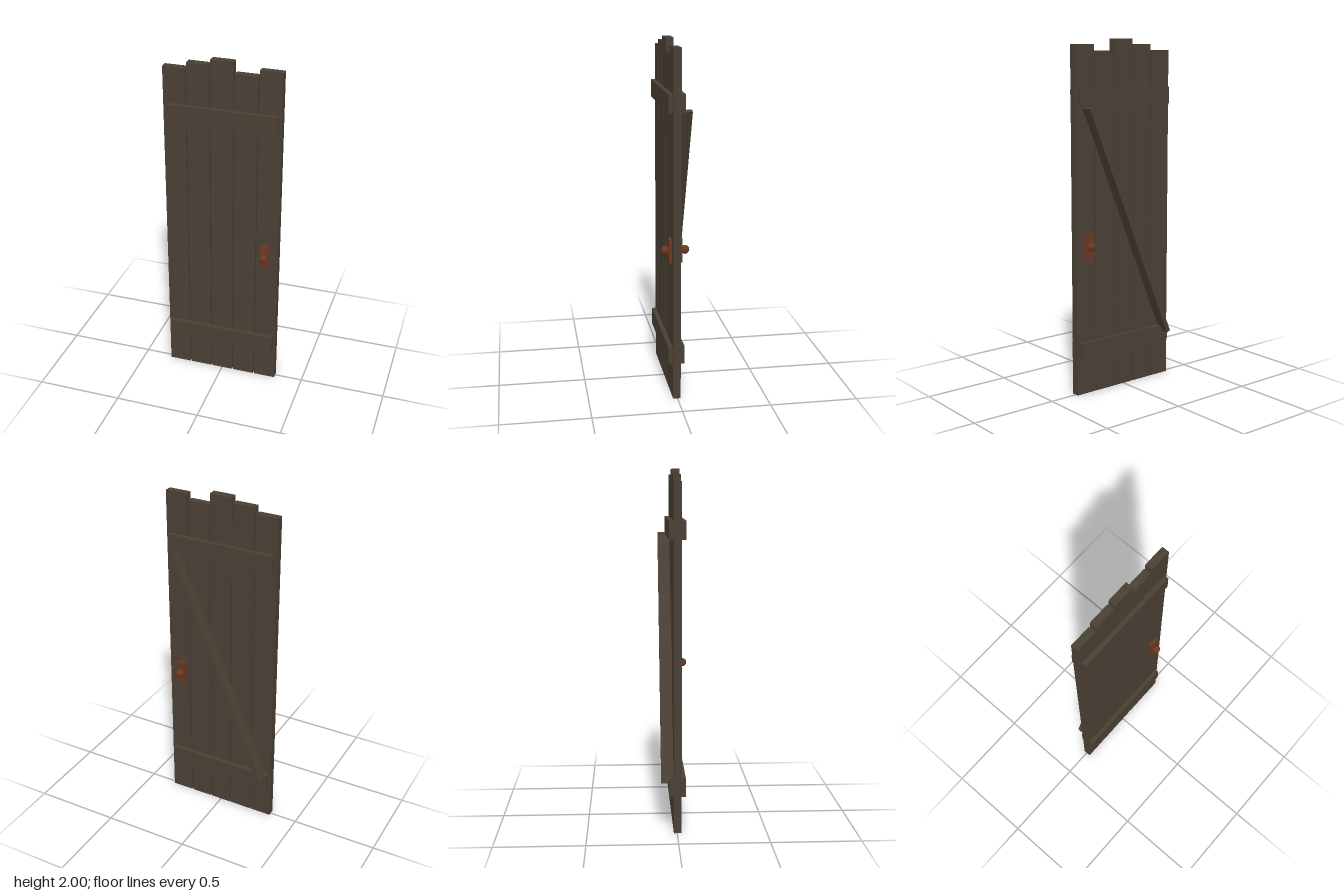
import * as THREE from 'three';

export function createModel() {
  const wood = new THREE.MeshStandardMaterial({ color: 0x4a4034 });
  wood.name = 'dark wood';
  const metal = new THREE.MeshStandardMaterial({ color: 0x6b3820, flatShading: true });
  metal.name = 'rusty metal';

  const door = new THREE.Group();
  door.name = 'door';

  const add = (name, geometry, material, x, y, z) => {
    const mesh = new THREE.Mesh(geometry, material);
    mesh.name = name;
    mesh.position.set(x, y, z);
    door.add(mesh);
    return mesh;
  };
  const box = (name, material, w, h, d, x, y, z) =>
    add(name, new THREE.BoxGeometry(w, h, d), material, x, y, z);

  // Upright planks with uneven tops and narrow gaps
  const front = 0.025, back = -0.018;
  [1.935, 1.97, 2, 1.935, 1.97].forEach((h, i) =>
    box('plank' + (i + 1), wood, 0.128, h, front - back, (i - 2) * 0.1353, h / 2, (front + back) / 2));

  // Cross battens on both faces
  for (const [level, y] of [['lower', 0.256], ['upper', 1.676]]) {
    box(level + 'FrontBatten', wood, 0.636, 0.102, 0.025, 0, y, front + 0.0125);
    box(level + 'BackBatten', wood, 0.636, 0.102, 0.025, 0, y, back - 0.0125);
  }

  // Diagonal brace on the back
  const brace = box('diagonalBrace', wood, 0.025, 1.469, 0.084, -0.009, 0.953, -0.045);
  brace.rotation.z = -Math.atan2(0.567, 1.355);

  // Handle plate and faceted knob on each face
  for (const [side, face, dir] of [['front', front, 1], ['back', back, -1]]) {
    box(side + 'HandlePlate', metal, 0.052, 0.137, 0.017, 0.257, 0.858, face + dir * 0.0085);
    add(side + 'Knob', new THREE.SphereGeometry(0.025, 8, 8), metal, 0.257, 0.858, face + dir * 0.034);
  }

  return door;
}
